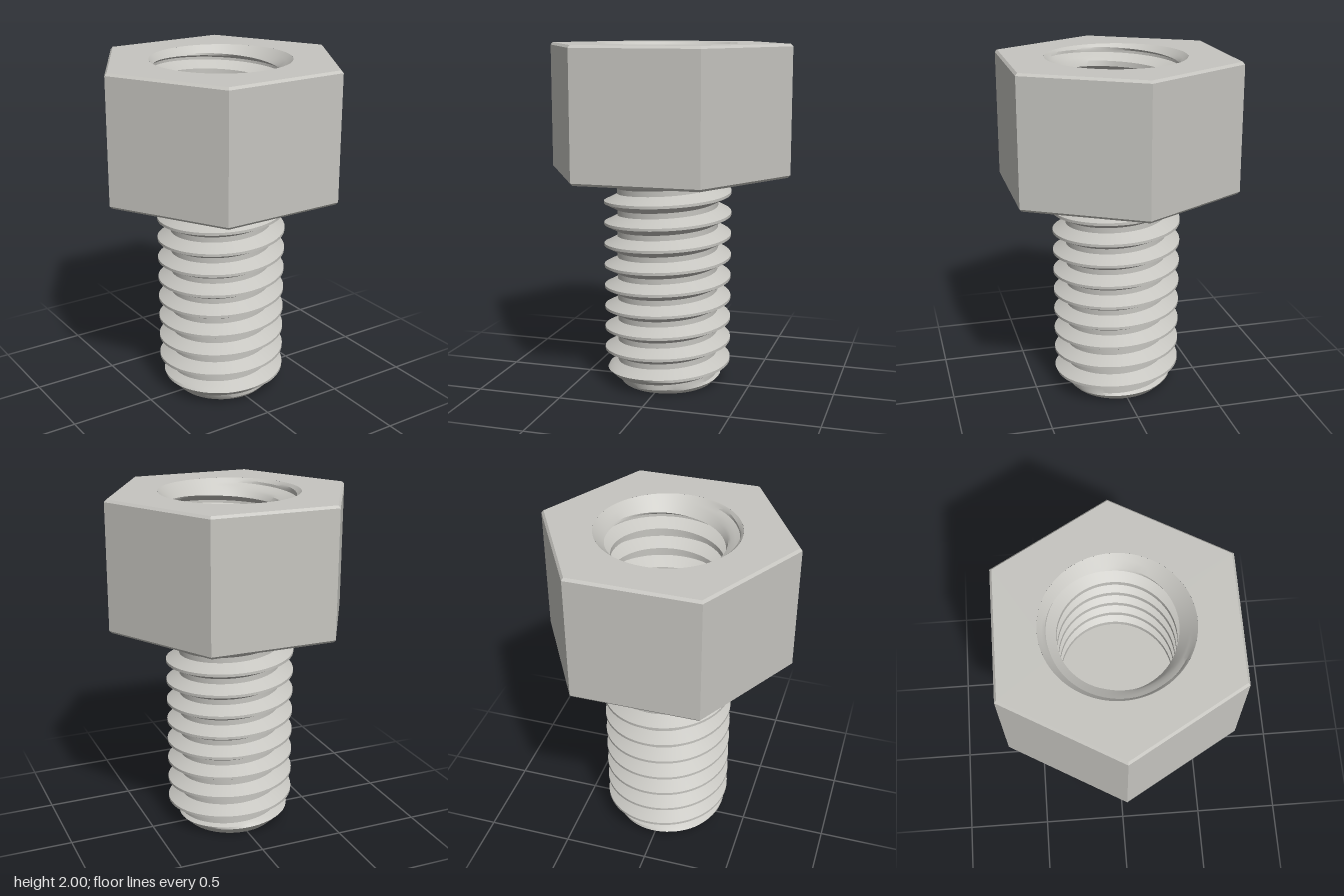
import * as THREE from 'three';
import { toCreasedNormals } from 'three/addons/utils/BufferGeometryUtils.js';

const SEGMENTS = 72;
const PITCH = 0.126;
const CREST_Y = 0.135; // height of a crest on the +x side
const HEAD_BOTTOM = 1.255, HEAD_TOP = 2;
const HEAD_RADIUS = 0.72, BEVEL = 0.014;
const TIP_RADIUS = 0.27;
const HOLE_MOUTH = 0.4, HOLE_FLOOR = 1.27;

// Fractions of one pitch: crest edges, flank steps, root edges
const STEPS = [-0.0625, 0.0625, 0.167, 0.271, 0.375, 0.625, 0.729, 0.833];

// Thread height (0 root, 1 crest) at a fraction of the pitch from the crest centre
function threadHeight(f) {
  const d = Math.abs(f - Math.round(f));
  return THREE.MathUtils.clamp((0.375 - d) / 0.3125, 0, 1);
}

// Right-handed helical surface between two heights; radius(y, height) shapes the profile
function threadGeometry(y0, y1, radius, inward) {
  const kStart = Math.floor((y0 - CREST_Y) / PITCH) - 2;
  const kEnd = Math.ceil((y1 - CREST_Y) / PITCH) + 1;
  const fractions = [];
  for (let k = kStart; k <= kEnd; k++) for (const s of STEPS) fractions.push(k + s);

  const point = (f, i) => {
    const turn = i / SEGMENTS;
    const y = THREE.MathUtils.clamp(CREST_Y + PITCH * (f + turn), y0, y1);
    const r = radius(y, threadHeight((y - CREST_Y) / PITCH - turn));
    const a = turn * Math.PI * 2;
    return new THREE.Vector3(r * Math.cos(a), y, -r * Math.sin(a));
  };

  const positions = [];
  const addTriangle = (a, b, c) => {
    const area = b.clone().sub(a).cross(c.clone().sub(a)).length();
    if (area < 1e-8) return;
    for (const p of inward ? [a, c, b] : [a, b, c]) positions.push(p.x, p.y, p.z);
  };
  for (let j = 0; j < fractions.length - 1; j++) {
    for (let i = 0; i < SEGMENTS; i++) {
      const a = point(fractions[j], i), b = point(fractions[j], i + 1);
      const c = point(fractions[j + 1], i + 1), d = point(fractions[j + 1], i);
      addTriangle(a, b, d);
      addTriangle(b, c, d);
    }
  }
  const geometry = new THREE.BufferGeometry();
  geometry.setAttribute('position', new THREE.Float32BufferAttribute(positions, 3));
  return toCreasedNormals(geometry, 0.5);
}

export function createModel() {
  const model = new THREE.Group();
  const steel = new THREE.MeshStandardMaterial({ color: 0xc6c5c0 });
  steel.name = 'warm grey steel';

  const add = (name, geometry) => {
    const mesh = new THREE.Mesh(geometry, steel);
    mesh.name = name;
    model.add(mesh);
    return mesh;
  };

  // Hexagonal head: bevelled sides and underside, corners on the x axis
  const profile = [
    [0, HEAD_BOTTOM],
    [HEAD_RADIUS - BEVEL, HEAD_BOTTOM],
    [HEAD_RADIUS, HEAD_BOTTOM + BEVEL],
    [HEAD_RADIUS, HEAD_TOP - BEVEL],
    [HEAD_RADIUS - BEVEL, HEAD_TOP],
  ].map(([x, y]) => new THREE.Vector2(x, y));
  const sides = new THREE.LatheGeometry(profile, 6, Math.PI / 2).toNonIndexed();
  sides.computeVertexNormals();
  add('hexHead', sides);

  // Flat top of the head around the hole
  const hexagon = new THREE.Shape();
  for (let i = 0; i < 6; i++) {
    const a = i * Math.PI / 3, r = HEAD_RADIUS - BEVEL;
    hexagon[i ? 'lineTo' : 'moveTo'](r * Math.cos(a), r * Math.sin(a));
  }
  hexagon.closePath();
  const mouth = new THREE.Path();
  mouth.absarc(0, 0, HOLE_MOUTH, 0, Math.PI * 2, true);
  hexagon.holes.push(mouth);
  const top = add('headTop', new THREE.ShapeGeometry(hexagon, SEGMENTS));
  top.rotation.x = -Math.PI / 2;
  top.position.y = HEAD_TOP;

  // Threaded hole with a countersunk mouth
  add('threadedHole', threadGeometry(HOLE_FLOOR, HEAD_TOP,
    (y, h) => Math.max(0.31 + 0.072 * h, HOLE_MOUTH - (HEAD_TOP - y)), true));
  const floor = add('holeFloor', new THREE.CircleGeometry(HOLE_MOUTH, SEGMENTS));
  floor.rotation.x = -Math.PI / 2;
  floor.position.y = HOLE_FLOOR;

  // Threaded shank with a chamfered tip
  add('threadedShank', threadGeometry(0, HEAD_BOTTOM + 0.005,
    (y, h) => Math.min(0.296 + 0.077 * h, TIP_RADIUS + y), false));
  const tip = add('shankTip', new THREE.CircleGeometry(TIP_RADIUS, SEGMENTS));
  tip.rotation.x = Math.PI / 2;

  return model;
}
